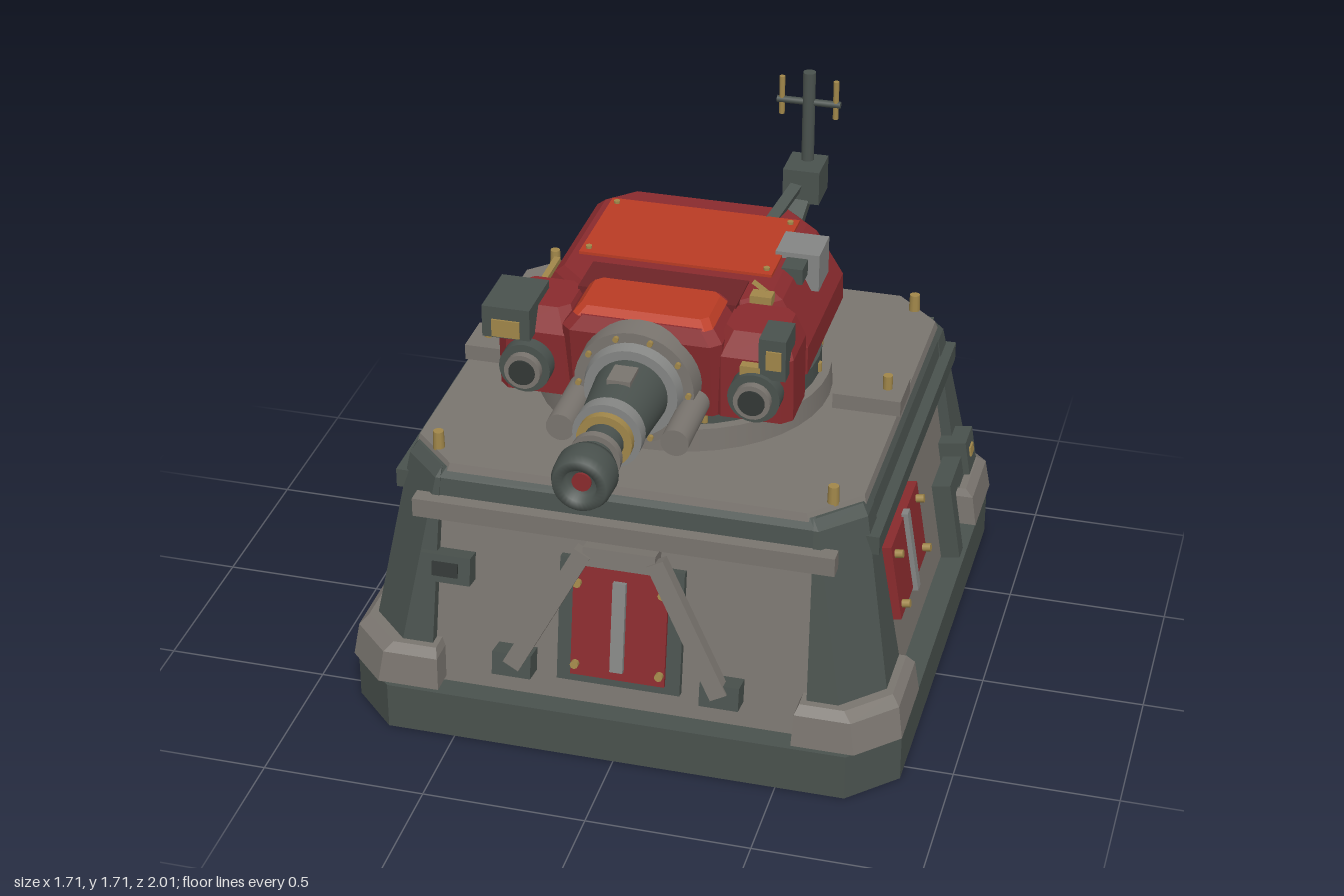
import * as THREE from 'three';

const mat = (name, color) => new THREE.MeshStandardMaterial({ name, color });

export function createModel() {
  const dark = mat('dark green grey', 0x4a524e), grey = mat('warm grey', 0x7a756f), steel = mat('pale steel', 0x858684);
  const red = mat('deep red', 0x8a2b2e), orange = mat('orange red', 0xba3c24), gold = mat('brass', 0xa1874a);
  const maroon = mat('maroon', 0x6e2427), black = mat('charcoal', 0x333836);
  const model = new THREE.Group();
  model.name = 'turretBunker';
  const CZ = -0.15; // centre of the bunker along z

  const add = (parent, name, geo, material, x = 0, y = 0, z = 0) => {
    const m = new THREE.Mesh(geo, material);
    m.name = name;
    m.position.set(x, y, z);
    parent.add(m);
    return m;
  };
  const box = (p, name, m, w, h, d, x, y, z) => add(p, name, new THREE.BoxGeometry(w, h, d), m, x, y, z);
  const cyl = (p, name, m, r, h, x, y, z, axis = 'y', r2 = r, n = 24) => {
    const g = new THREE.CylinderGeometry(r2, r, h, n);
    if (axis === 'z') g.rotateX(Math.PI / 2);
    if (axis === 'x') g.rotateZ(-Math.PI / 2);
    return add(p, name, g, m, x, y, z);
  };
  // Beam between two points
  const beam = (p, name, m, a, b, w, d) => {
    const A = new THREE.Vector3(...a), B = new THREE.Vector3(...b);
    const mesh = box(p, name, m, w, A.distanceTo(B), d, 0, 0, 0);
    mesh.position.copy(A).add(B).multiplyScalar(0.5);
    mesh.quaternion.setFromUnitVectors(new THREE.Vector3(0, 1, 0), B.sub(A).normalize());
    return mesh;
  };
  // Flat-sided loft through convex [x, z] outlines stacked along y
  const loft = (sections) => {
    const pos = [], n = sections[0][1].length;
    const area = sections[0][1].reduce((s, p, i, o) => s + p[0] * o[(i + 1) % n][1] - o[(i + 1) % n][0] * p[1], 0);
    const rings = sections.map(([y, o]) => (area > 0 ? [...o].reverse() : o).map(([x, z]) => [x, y, z]));
    const tri = (a, b, c) => pos.push(...a, ...b, ...c);
    for (let k = 0; k + 1 < rings.length; k++) for (let i = 0; i < n; i++) {
      const j = (i + 1) % n, lo = rings[k], hi = rings[k + 1];
      tri(lo[i], lo[j], hi[j]);
      tri(lo[i], hi[j], hi[i]);
    }
    const top = rings[rings.length - 1], bot = rings[0];
    for (let i = 1; i < n - 1; i++) {
      tri(top[0], top[i], top[i + 1]);
      tri(bot[0], bot[i + 1], bot[i]);
    }
    const g = new THREE.BufferGeometry();
    g.setAttribute('position', new THREE.Float32BufferAttribute(pos, 3));
    g.computeVertexNormals();
    return g;
  };
  // Rectangle with cut corners
  const oct = (hx, z0, z1, c) => [[hx, z0 + c], [hx, z1 - c], [hx - c, z1], [c - hx, z1],
    [-hx, z1 - c], [-hx, z0 + c], [c - hx, z0], [hx - c, z0]];
  const sq = (h, c) => oct(h, CZ - h, CZ + h, c);

  // Bunker body
  const bunker = new THREE.Group();
  bunker.name = 'bunker';
  model.add(bunker);
  add(bunker, 'base', loft([[0, sq(0.85, 0.14)], [0.15, sq(0.85, 0.14)]]), dark);
  add(bunker, 'walls', loft([[0.15, sq(0.777, 0.12)], [0.75, sq(0.681, 0.12)]]), grey);
  add(bunker, 'upperBand', loft([[0.7, sq(0.714, 0.13)], [0.82, sq(0.698, 0.13)], [0.85, sq(0.68, 0.13)]]), dark);
  add(bunker, 'roofPlate', loft([[0.84, sq(0.687, 0.14)], [0.865, sq(0.68, 0.14)]]), grey);

  // Corner pillars and their feet
  for (const sx of [-1, 1]) for (const sz of [-1, 1]) {
    const corner = (h, ix, iz, c) => [[ix, iz], [h, iz], [h, h - c], [h - c, h], [ix, h]]
      .map(([x, z]) => [sx * x, CZ + sz * z]);
    add(bunker, 'cornerPillar', loft([[0.16, corner(0.815, 0.58, 0.49, 0.12)], [0.82, corner(0.7, 0.565, 0.495, 0.12)],
      [0.85, corner(0.68, 0.565, 0.495, 0.12)]]), dark);
    add(bunker, 'pillarFoot', loft([[0.165, corner(0.855, 0.545, 0.475, 0.12)], [0.265, corner(0.84, 0.55, 0.48, 0.12)],
      [0.29, corner(0.815, 0.56, 0.49, 0.12)]]), grey);
    cyl(bunker, 'roofStud', gold, 0.018, 0.06, sx * 0.6, 0.89, CZ + sz * 0.6, 'y', 0.016, 10);
  }
  for (const s of [-1, 1]) {
    box(bunker, 'roofBlock', grey, 0.21, 0.05, 0.15, s * 0.585, 0.89, CZ);
    cyl(bunker, 'blockStud', gold, 0.015, 0.05, s * 0.635, 0.935, CZ, 'y', 0.015, 10);
    box(bunker, 'sideTrim', dark, 0.05, 0.06, 1.2, s * 0.715, 0.735, CZ);
    box(bunker, 'endTrim', s > 0 ? grey : dark, 1.28, 0.06, 0.05, 0, 0.735, CZ + s * 0.722);
  }

  // Sloping frame on each wall: local x along the wall, y up from ground, z outward
  const wall = (name, turn) => {
    const outer = new THREE.Group(), inner = new THREE.Group();
    outer.name = name;
    outer.position.z = CZ;
    outer.rotation.y = turn;
    inner.position.z = 0.801;
    inner.rotation.x = -Math.atan(0.16);
    outer.add(inner);
    bunker.add(outer);
    return inner;
  };
  const bolts = (p, xs, ys, z) => xs.forEach(x => ys.forEach(y => cyl(p, 'bolt', gold, 0.013, 0.03, x, y, z, 'z', 0.013, 8)));

  // Front: door, braces, vent
  const front = wall('frontWall', 0);
  box(front, 'doorFrame', dark, 0.38, 0.4, 0.05, 0, 0.43, 0);
  box(front, 'door', red, 0.29, 0.365, 0.04, 0, 0.44, 0.018);
  box(front, 'doorBar', steel, 0.04, 0.29, 0.02, 0, 0.435, 0.045);
  bolts(front, [-0.13, 0.13], [0.295, 0.56], 0.04);
  box(front, 'braceHead', grey, 0.22, 0.06, 0.08, 0, 0.66, 0.03);
  for (const s of [-1, 1]) {
    beam(front, 'brace', grey, [s * 0.11, 0.67, 0.055], [s * 0.32, 0.27, 0.055], 0.055, 0.045);
    box(front, 'braceFoot', dark, 0.12, 0.075, 0.08, s * 0.32, 0.27, 0.03);
  }
  box(front, 'vent', dark, 0.155, 0.09, 0.07, -0.537, 0.545, 0.02);
  box(front, 'ventCover', black, 0.08, 0.045, 0.008, -0.537, 0.545, 0.057);

  // Left side: hatch and pipe
  const left = wall('leftWall', Math.PI / 2);
  box(left, 'hatch', red, 0.39, 0.25, 0.06, -0.26, 0.515, 0.02);
  box(left, 'hatchBar', steel, 0.035, 0.27, 0.02, -0.26, 0.515, 0.055);
  bolts(left, [-0.42, -0.1], [0.425, 0.6], 0.06);
  box(left, 'pipeDrop', dark, 0.06, 0.26, 0.06, 0.28, 0.3, 0.04);
  box(left, 'pipeRun', dark, 0.22, 0.06, 0.06, 0.36, 0.405, 0.04);
  box(left, 'junctionBox', dark, 0.115, 0.115, 0.09, 0.497, 0.425, 0.045);
  box(left, 'junctionPlate', gold, 0.045, 0.03, 0.008, 0.497, 0.43, 0.092);

  // Back: slots and warning box; right: small fitting
  const back = wall('backWall', Math.PI);
  for (const x of [0.08, 0.14, 0.2, 0.26]) box(back, 'ventSlot', dark, 0.028, 0.13, 0.04, x, 0.44, 0.01);
  box(back, 'warningBox', orange, 0.15, 0.1, 0.06, -0.42, 0.58, 0.02);
  box(back, 'warningPlate', gold, 0.08, 0.05, 0.008, -0.42, 0.58, 0.052);
  const right = wall('rightWall', -Math.PI / 2);
  box(right, 'fitting', dark, 0.05, 0.05, 0.06, -0.255, 0.46, 0.02);

  // Turntable
  const turret = new THREE.Group();
  turret.name = 'turret';
  model.add(turret);
  cyl(turret, 'turntable', grey, 0.455, 0.075, 0, 0.9, CZ, 'y', 0.45, 40);
  cyl(turret, 'bearingRing', dark, 0.42, 0.06, 0, 0.965, CZ, 'y', 0.42, 40);
  for (let i = 0; i < 16; i++) {
    const a = i * Math.PI / 8;
    cyl(turret, 'ringBolt', gold, 0.01, 0.03, 0.42 * Math.sin(a), 0.96, CZ + 0.42 * Math.cos(a), 'y', 0.01, 8);
  }
  box(turret, 'ringStop', dark, 0.16, 0.05, 0.05, 0, 0.92, -0.61);

  // Turret shell
  add(turret, 'shell', loft([[0.99, oct(0.34, -0.48, 0.13, 0.1)], [1.04, oct(0.36, -0.49, 0.14, 0.1)],
    [1.05, oct(0.43, -0.535, 0.16, 0.1)], [1.14, oct(0.43, -0.525, 0.16, 0.1)],
    [1.29, oct(0.35, -0.49, 0.15, 0.09)], [1.315, oct(0.32, -0.47, 0.14, 0.08)]]), red);
  box(turret, 'roofHatch', orange, 0.595, 0.012, 0.37, 0, 1.318, -0.205);
  for (const x of [-0.275, 0.275]) for (const z of [-0.36, -0.05]) cyl(turret, 'hatchBolt', gold, 0.01, 0.02, x, 1.322, z, 'y', 0.01, 8);
  box(turret, 'recess', maroon, 0.48, 0.2, 0.16, 0, 1.22, 0.105);
  add(turret, 'mantlet', loft([[1.03, oct(0.24, 0.1, 0.34, 0.03)], [1.28, oct(0.24, 0.1, 0.38, 0.03)],
    [1.325, oct(0.205, 0.13, 0.36, 0.03)]]), red);
  add(turret, 'mantletTop', loft([[1.32, oct(0.21, 0.145, 0.36, 0.02)], [1.342, oct(0.19, 0.155, 0.33, 0.02)]]), orange);
  box(turret, 'sideRail', gold, 0.02, 0.02, 0.17, -0.4, 1.225, -0.045);
  box(turret, 'latch', gold, 0.065, 0.03, 0.045, 0.3, 1.315, 0.11);
  beam(turret, 'latchArm', gold, [0.26, 1.325, 0.04], [0.31, 1.325, 0.09], 0.015, 0.015);

  // Cheeks with side lamps
  for (const s of [-1, 1]) {
    add(turret, 'cheek', loft([[1.035, oct(0.12, 0.13, 0.34, 0.03)], [1.24, oct(0.12, 0.13, 0.35, 0.03)],
      [1.31, oct(0.09, 0.14, 0.31, 0.03)]]), red, s * 0.325, 0, 0);
    cyl(turret, 'lampHousing', dark, 0.078, 0.06, s * 0.345, 1.14, 0.365, 'z');
    cyl(turret, 'lampRim', grey, 0.055, 0.04, s * 0.345, 1.14, 0.4, 'z');
    cyl(turret, 'lampLens', black, 0.04, 0.01, s * 0.345, 1.14, 0.42, 'z');
    cyl(turret, 'recoilCylinder', grey, 0.042, 0.24, s * 0.17, 1.095, 0.5, 'z');
  }
  box(turret, 'sightBox', dark, 0.145, 0.1, 0.2, -0.397, 1.285, 0.3);
  box(turret, 'sightLens', gold, 0.085, 0.055, 0.008, -0.397, 1.268, 0.402);
  box(turret, 'sensorBox', dark, 0.08, 0.13, 0.12, 0.395, 1.265, 0.32);
  box(turret, 'sensorLens', gold, 0.045, 0.06, 0.008, 0.4, 1.265, 0.382);
  box(turret, 'sensorClip', gold, 0.06, 0.03, 0.04, 0.33, 1.22, 0.36);

  // Gun
  const gun = new THREE.Group();
  gun.name = 'gun';
  gun.position.y = 1.15;
  model.add(gun);
  cyl(gun, 'collar', grey, 0.183, 0.08, 0, 0, 0.4, 'z', 0.18, 36);
  cyl(gun, 'innerCollar', steel, 0.15, 0.04, 0, 0, 0.455, 'z', 0.14, 36);
  for (let i = 0; i < 10; i++) {
    const a = (i + 0.5) * Math.PI / 5;
    cyl(gun, 'collarBolt', gold, 0.009, 0.02, 0.165 * Math.sin(a), 0.165 * Math.cos(a), 0.442, 'z', 0.009, 8);
  }
  cyl(gun, 'barrelSleeve', dark, 0.113, 0.25, 0, 0, 0.575, 'z', 0.095, 32);
  cyl(gun, 'sleeveRing', steel, 0.102, 0.045, 0, 0, 0.7, 'z', 0.102, 32);
  cyl(gun, 'brassRing', gold, 0.082, 0.025, 0, 0, 0.74, 'z', 0.082, 32);
  cyl(gun, 'barrel', dark, 0.058, 0.2, 0, 0, 0.8, 'z', 0.058, 28);
  cyl(gun, 'barrelRing', grey, 0.075, 0.025, 0, 0, 0.835, 'z', 0.075, 28);
  box(gun, 'sleevePlate', grey, 0.07, 0.02, 0.09, 0, 0.102, 0.555);
  const muzzle = [[0.055, 0.88], [0.08, 0.89], [0.09, 0.915], [0.088, 0.975], [0.078, 1], [0.05, 1], [0.045, 0.97], [0, 0.97]];
  const mg = new THREE.LatheGeometry(muzzle.map(p => new THREE.Vector2(...p)), 32);
  mg.rotateX(Math.PI / 2);
  add(gun, 'muzzle', mg, dark);
  cyl(gun, 'bore', red, 0.028, 0.008, 0, 0, 0.974, 'z');

  // Roof box and antenna
  box(turret, 'spotterBox', steel, 0.135, 0.12, 0.135, 0.345, 1.275, -0.22);
  box(turret, 'spotterTube', dark, 0.065, 0.05, 0.08, 0.345, 1.295, -0.12);
  const antenna = new THREE.Group();
  antenna.name = 'antenna';
  model.add(antenna);
  beam(antenna, 'arm', dark, [0.2, 1.3, -0.36], [0.255, 1.365, -0.57], 0.035, 0.025);
  beam(antenna, 'lowerArm', dark, [0.25, 1.24, -0.46], [0.265, 1.34, -0.61], 0.06, 0.04);
  box(antenna, 'antennaBox', dark, 0.115, 0.11, 0.13, 0.265, 1.36, -0.605);
  cyl(antenna, 'mast', dark, 0.02, 0.3, 0.265, 1.56, -0.63, 'y', 0.02, 12);
  cyl(antenna, 'crossbar', dark, 0.011, 0.2, 0.265, 1.61, -0.63, 'x', 0.011, 10);
  for (const s of [-1, 1]) cyl(antenna, 'aerialTip', gold, 0.009, 0.125, 0.265 + s * 0.085, 1.625, -0.63, 'y', 0.009, 10);

  return model;
}
